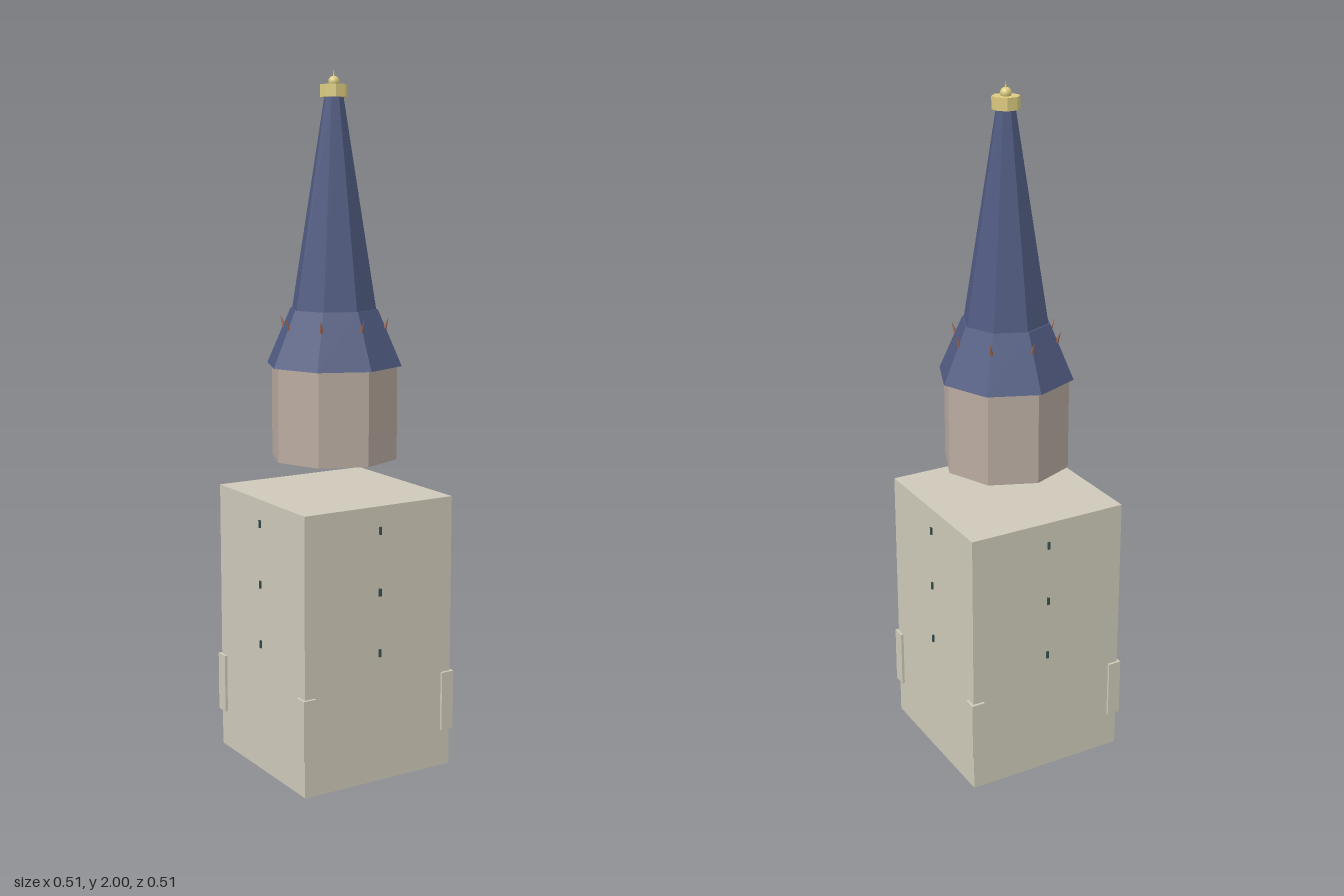
import * as THREE from 'three';

export function createModel() {
  const model = new THREE.Group();
  const paint = (color, flatShading = true) => {
    const m = new THREE.MeshStandardMaterial({ color: 0xcccccc, flatShading });
    m.color.set(color);
    return m;
  };
  const stone = paint(0xcdc8b8), brick = paint(0xb8aaa0), slate = paint(0x4f5a80);
  const gold = paint(0xdccb80), goldSmooth = paint(0xdccb80, false);
  const copper = paint(0x96604c), glass = paint(0x35504e);

  const add = (name, geometry, material, x = 0, y = 0, z = 0, parent = model) => {
    const mesh = new THREE.Mesh(geometry, material);
    mesh.name = name;
    mesh.position.set(x, y, z);
    parent.add(mesh);
    return mesh;
  };
  // Closed eight-sided frustum between two heights, with corners on the axes
  const octagon = (name, rTop, rBottom, y0, y1, material) =>
    add(name, new THREE.CylinderGeometry(rTop, rBottom, y1 - y0, 8), material, 0, (y0 + y1) / 2, 0);

  // Square tower shaft
  add('towerShaft', new THREE.BoxGeometry(0.49, 0.805, 0.49), stone, 0, 0.4025, 0);

  // Corner guards near the foot
  const guard = new THREE.BoxGeometry(0.04, 0.175, 0.04);
  for (const sx of [-1, 1]) {
    for (const sz of [-1, 1]) add('cornerGuard', guard, stone, sx * 0.233, 0.1975, sz * 0.233);
  }

  // Three slit windows on each face
  const slit = new THREE.BoxGeometry(0.007, 0.022, 0.01);
  for (let i = 0; i < 4; i++) {
    const face = new THREE.Group();
    face.name = 'faceWindows';
    face.rotation.y = i * Math.PI / 2;
    for (const y of [0.38, 0.557, 0.735]) add('slitWindow', slit, glass, 0, y, 0.245, face);
    model.add(face);
  }

  // Belfry drum, flared skirt and spire
  octagon('belfryDrum', 0.185, 0.185, 0.905, 1.178, brick);
  octagon('roofSkirt', 0.128, 0.198, 1.175, 1.335, slate);
  octagon('spire', 0.027, 0.124, 1.33, 1.93, slate);

  // Small spikes leaning outward on the skirt ridges
  const spikeGeometry = new THREE.ConeGeometry(0.008, 0.048, 6);
  for (let i = 0; i < 8; i++) {
    const ridge = new THREE.Group();
    ridge.name = 'ridgeSpike';
    ridge.rotation.y = i * Math.PI / 4;
    add('spike', spikeGeometry, copper, 0, 1.292, 0.151, ridge).rotation.x = 0.35;
    model.add(ridge);
  }

  // Gilded crown, ball and needle
  octagon('crown', 0.039, 0.039, 1.925, 1.96, gold).rotation.y = Math.PI / 8;
  add('finialBall', new THREE.SphereGeometry(0.016, 16, 12), goldSmooth, 0, 1.967, 0);
  add('finialNeedle', new THREE.ConeGeometry(0.004, 0.025, 8), goldSmooth, 0, 1.9875, 0);

  return model;
}
